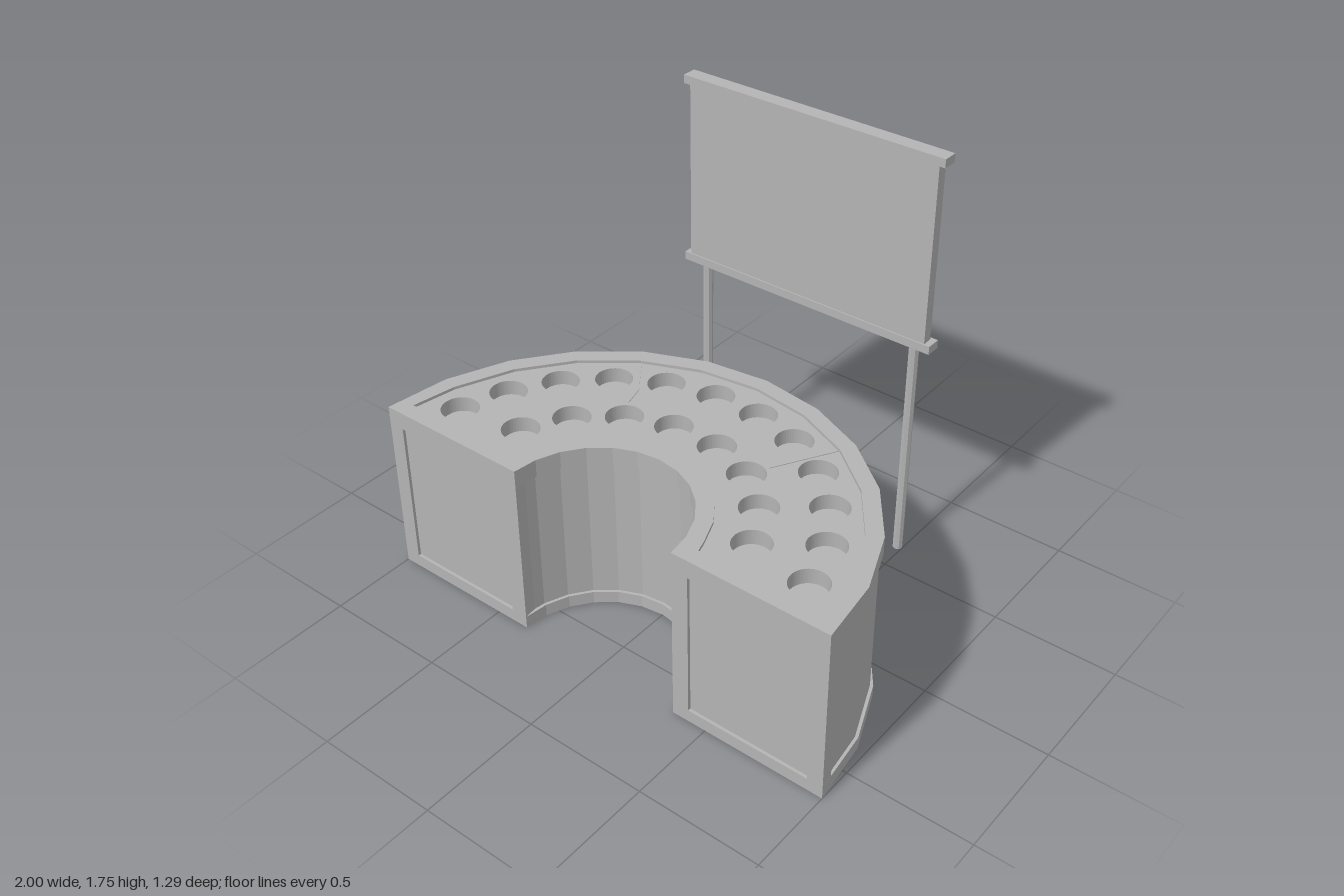
import * as THREE from 'three';

const END = 0.645;   // z of the straight ends, also the centre of the arcs
const SEGMENTS = 12;

// Points of a half ring outline, pulled in by d; shape y is -z
function outline(d) {
  const pts = [];
  const arc = (rx, rz, i) => {
    const a = (i / SEGMENTS) * Math.PI;
    const z = Math.min(END - d, END - rz * Math.sin(a));
    pts.push(new THREE.Vector2(rx * Math.cos(a), -z));
  };
  for (let i = 0; i <= SEGMENTS; i++) arc(1 - d, 1.012 - d, i);
  for (let i = SEGMENTS; i >= 0; i--) arc(0.356 + d, 0.372 + d, i);
  return pts;
}

// Upright prism of a floor plan between two heights
function prism(pts, y0, y1, holes = []) {
  const shape = new THREE.Shape(pts);
  shape.holes.push(...holes);
  const geo = new THREE.ExtrudeGeometry(shape, { depth: y1 - y0, bevelEnabled: false, curveSegments: 24 });
  return geo.rotateX(-Math.PI / 2).translate(0, y0, 0);
}

const plan = (list) => list.map(([x, z]) => new THREE.Vector2(x, -z));

export function createModel() {
  const model = new THREE.Group();
  const grey = new THREE.MeshStandardMaterial({ color: 0xb4b4b4 });
  grey.name = 'plain grey';

  const add = (parent, name, geo, x = 0, y = 0, z = 0) => {
    const mesh = new THREE.Mesh(geo, grey);
    mesh.name = name;
    mesh.position.set(x, y, z);
    parent.add(mesh);
  };

  // Curved counter
  const counter = new THREE.Group();
  counter.name = 'counter';
  model.add(counter);
  add(counter, 'bottomRim', prism(outline(0), 0, 0.052));
  add(counter, 'recessedWalls', prism(outline(0.012), 0.052, 0.661));
  add(counter, 'topRim', prism(outline(0), 0.661, 0.735, [new THREE.Path(outline(0.065))]));

  // Top plate with two rows of round wells
  const wells = [];
  const centres = [
    [0.1, -0.18], [0.3, -0.13], [0.477, -0.03], [0.625, 0.11], [0.733, 0.283], [0.797, 0.475],
    [0.1, 0.07], [0.283, 0.135], [0.432, 0.26], [0.53, 0.43],
  ];
  for (const [x, z] of centres) {
    for (const side of [-1, 1]) {
      wells.push(new THREE.Path().absarc(side * x, -z, 0.073, 0, Math.PI * 2, true));
    }
  }
  add(counter, 'topPlate', prism(outline(0.065), 0.661, 0.723, wells));

  for (const s of [-1, 1]) {
    const side = (list) => plan(list.map(([x, z]) => [s * x, z]));
    // Corner frames of the end panels
    add(counter, 'outerCornerPost', prism(side([[1, END], [0.935, END], [0.935, 0.585], [0.992, 0.585]]), 0.052, 0.661));
    add(counter, 'innerCornerPost', prism(side([[0.356, END], [0.425, END], [0.425, 0.585], [0.363, 0.585]]), 0.052, 0.661));
    // Narrow wedge between sections of the top plate
    add(counter, 'sectionSeam', prism(side([[0.466, -0.18], [0.328, 0.06], [0.352, -0.03]]), 0.72, 0.726));
  }

  // Sign board on two posts behind the counter
  const sign = new THREE.Group();
  sign.name = 'sign';
  sign.position.x = -0.004;
  model.add(sign);
  add(sign, 'board', new THREE.BoxGeometry(1.085, 0.72, 0.042), 0, 1.36, -0.611);
  for (const y of [0.985, 1.737]) {
    add(sign, 'rail', new THREE.BoxGeometry(1.135, 0.034, 0.06), 0, y, -0.615);
  }
  for (const s of [-1, 1]) {
    const post = new THREE.CylinderGeometry(0.02, 0.02, 1.73, 8).toNonIndexed();
    post.computeVertexNormals();
    add(sign, 'post', post, s * 0.483, 0.865, -0.624);
  }
  return model;
}
